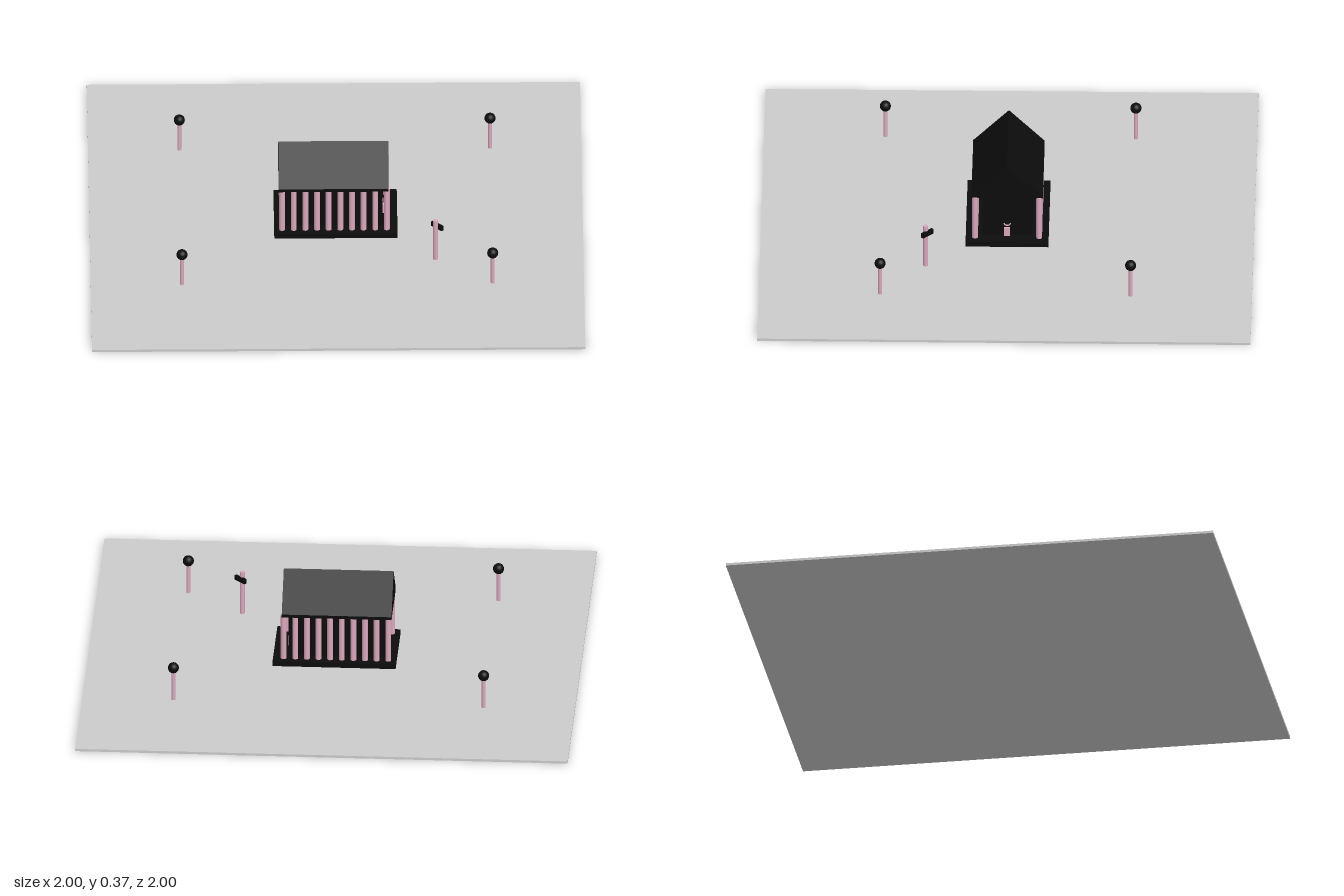
import * as THREE from 'three';

const grey = new THREE.MeshStandardMaterial({ color: 0xcccccc });
const black = new THREE.MeshStandardMaterial({ color: 0x0c0c0c });
const pink = new THREE.MeshStandardMaterial({ color: 0xdba8bd });

function add(parent, name, geometry, material, x = 0, y = 0, z = 0) {
  const mesh = new THREE.Mesh(geometry, material);
  mesh.name = name;
  mesh.position.set(x, y, z);
  parent.add(mesh);
  return mesh;
}

const box = (w, h, d) => new THREE.BoxGeometry(w, h, d);
const rod = (r, h, sides = 16) => new THREE.CylinderGeometry(r, r, h, sides);

function createHouse() {
  const house = new THREE.Group();
  house.name = 'house';
  add(house, 'plinth', box(0.5, 0.02, 0.336), black, -0.002, 0.02, 0);
  add(house, 'walls', box(0.39, 0.195, 0.2), black, -0.008, 0.1275, 0);

  // Colonnades along both long sides
  for (const z of [-0.13, 0.13]) {
    for (let i = 0; i < 10; i++) {
      add(house, 'column', rod(0.012, 0.19), pink, -0.22 + i * 0.0472, 0.125, z);
    }
  }

  // Eaves slab and solid gabled roof, ridge along x
  add(house, 'eaves', box(0.446, 0.012, 0.29), black, -0.011, 0.224, 0);
  const gable = new THREE.Shape();
  gable.moveTo(-0.145, 0.228);
  gable.lineTo(0.145, 0.228);
  gable.lineTo(0, 0.37);
  gable.closePath();
  const roof = new THREE.ExtrudeGeometry(gable, { depth: 0.446, bevelEnabled: false });
  roof.rotateY(Math.PI / 2);
  add(house, 'roof', roof, black, -0.234, 0, 0);

  // Doorway ornament on the +x end
  add(house, 'door', box(0.008, 0.038, 0.024), pink, 0.19, 0.049, 0);
  const crescent = add(house, 'doorCrescent',
    new THREE.TorusGeometry(0.013, 0.003, 8, 20, Math.PI), pink, 0.19, 0.09, 0);
  crescent.rotation.set(Math.PI, Math.PI / 2, 0);
  return house;
}

function createLamp(x, z) {
  const lamp = new THREE.Group();
  lamp.name = 'lamp';
  lamp.position.set(x, 0, z);
  add(lamp, 'lampPost', rod(0.008, 0.13), pink, 0, 0.07, 0);
  add(lamp, 'lampGlobe', new THREE.SphereGeometry(0.0225, 24, 16), black, 0, 0.152, 0);
  return lamp;
}

function createSignpost() {
  const sign = new THREE.Group();
  sign.name = 'signpost';
  sign.position.set(0.4, 0, 0.327);
  add(sign, 'signPole', rod(0.01, 0.185), pink, 0, 0.1025, 0);
  // Plank set diagonally against the pole
  const plank = add(sign, 'signBoard', box(0.06, 0.02, 0.012), black, 0.007, 0.164, -0.007);
  plank.rotation.y = -Math.PI / 4;
  return sign;
}

export function createModel() {
  const model = new THREE.Group();
  model.name = 'houseOnPlaza';
  add(model, 'ground', box(2, 0.01, 2), grey, 0, 0.005, 0);
  model.add(createHouse());
  for (const x of [-0.63, 0.63]) {
    for (const z of [-0.508, 0.508]) model.add(createLamp(x, z));
  }
  model.add(createSignpost());
  return model;
}
